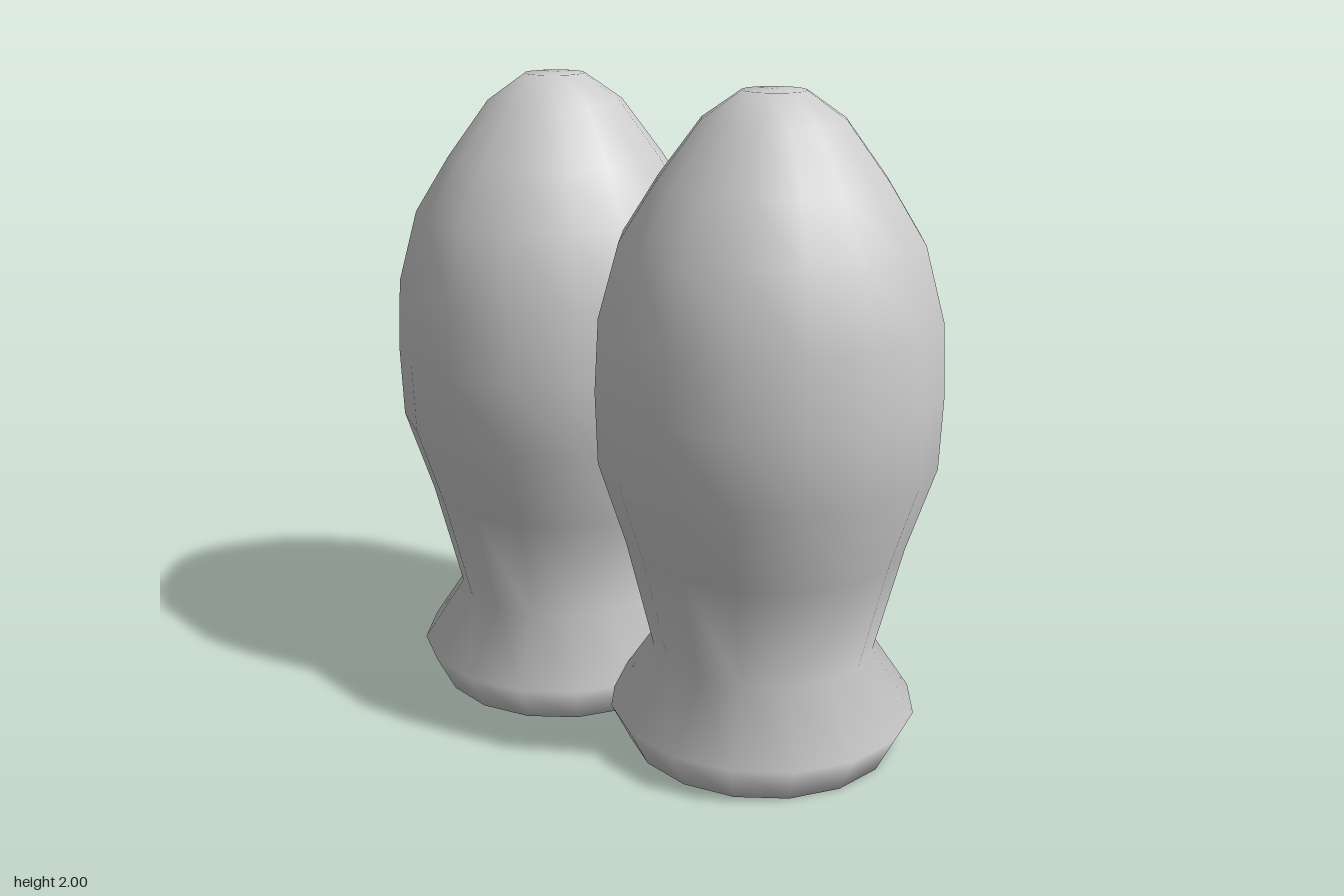
import * as THREE from 'three';

export function createModel() {
  const group = new THREE.Group();
  const material = new THREE.MeshStandardMaterial({ color: 0xcccccc });

  // Outer wall from foot to crown, as [radius, height]
  const outer = [
    [0.415, 0], [0.475, 0.12], [0.342, 0.32], [0.425, 0.66], [0.508, 0.92], [0.515, 1.14],
    [0.503, 1.36], [0.442, 1.58], [0.335, 1.75], [0.208, 1.92], [0.093, 2], [0, 2],
  ];
  // Thin-walled cavity, from its ceiling down to the open foot
  const inner = [
    [0, 1.965], [0.085, 1.965], [0.185, 1.89], [0.305, 1.73], [0.408, 1.565], [0.468, 1.35],
    [0.48, 1.14], [0.473, 0.925], [0.39, 0.67], [0.306, 0.32], [0.3, 0.12], [0.3, 0],
  ];
  const profile = [...inner, ...outer].map(([r, y]) => new THREE.Vector2(r, y));
  const geometry = new THREE.LatheGeometry(profile, 16);

  // Two matching hollow bodies, side by side and touching
  for (const [side, name] of [[1, 'leftBody'], [-1, 'rightBody']]) {
    const body = new THREE.Mesh(geometry, material);
    body.name = name;
    body.position.x = side * 0.402;
    group.add(body);
  }
  return group;
}
